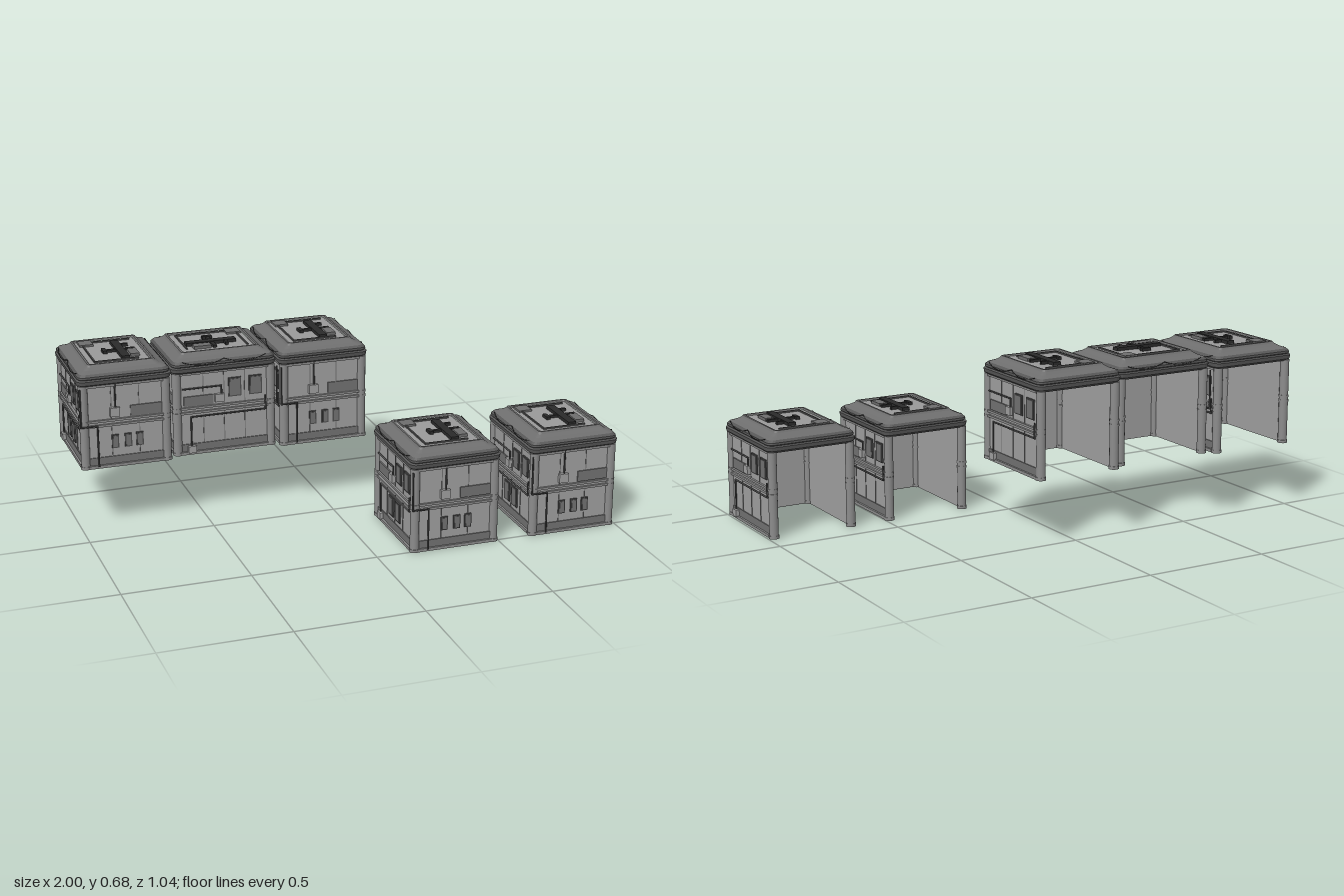
import * as THREE from 'three';

const mat = (name, color, extra = {}) =>
  Object.assign(new THREE.MeshStandardMaterial({ color, ...extra }), { name });

export function createModel() {
  const M = {
    wall: mat('wall grey', 0xa0a0a0),
    column: mat('column grey', 0x8c8c8c),
    trim: mat('trim grey', 0x727272),
    eave: mat('eave grey', 0x585858),
    roof: mat('roof grey', 0x6e6e6e),
    deck: mat('deck grey', 0x9a9a9a),
    dark: mat('vent black', 0x2b2b2b),
    pipe: mat('pipe grey', 0x4e4e4e),
    ceiling: mat('ceiling grey', 0x555555, { side: THREE.DoubleSide }),
  };

  const add = (parent, name, geo, m, x = 0, y = 0, z = 0) => {
    const mesh = new THREE.Mesh(geo, m);
    mesh.name = name;
    mesh.position.set(x, y, z);
    parent.add(mesh);
    return mesh;
  };
  // Box given by its ranges
  const box = (parent, name, m, x0, x1, y0, y1, z0, z1) =>
    add(parent, name, new THREE.BoxGeometry(x1 - x0, y1 - y0, z1 - z0), m,
      (x0 + x1) / 2, (y0 + y1) / 2, (z0 + z1) / 2);
  // Angular pipe run through flat points at depth z
  const pipe = (parent, name, pts, z, r = 0.0035, m = M.pipe) => {
    for (let i = 0; i + 1 < pts.length; i++) {
      const [ax, ay] = pts[i], [bx, by] = pts[i + 1];
      const len = Math.hypot(bx - ax, by - ay) + r;
      const p = add(parent, name, new THREE.CylinderGeometry(r, r, len, 8), m,
        (ax + bx) / 2, (ay + by) / 2, z);
      p.rotation.z = Math.atan2(by - ay, bx - ax) - Math.PI / 2;
    }
  };
  const windowAt = (w, x0, x1, y0, y1) => {
    box(w, 'windowFrame', M.pipe, x0, x1, y0, y1, 0, 0.005);
    box(w, 'windowPane', M.trim, x0 + 0.005, x1 - 0.005, y0 + 0.005, y1 - 0.005, 0, 0.007);
  };

  // Rounded rectangle outline at height y
  const ring = (hx, hz, r, y) => {
    const pts = [];
    for (let c = 0; c < 4; c++) {
      const sx = c === 0 || c === 3 ? 1 : -1, sz = c < 2 ? 1 : -1;
      for (let k = 0; k <= 4; k++) {
        const t = (c + k / 4) * Math.PI / 2;
        pts.push([sx * (hx - r) + r * Math.cos(t), y, sz * (hz - r) + r * Math.sin(t)]);
      }
    }
    return pts;
  };
  // Faceted skin over stacked outlines
  const loft = (profile, cap) => {
    const rings = profile.map(([inset, y]) =>
      ring(0.187 - inset, 0.214 - inset, Math.max(0.028 - inset * 0.3, 0.008), y));
    const v = [], n = rings[0].length;
    for (let j = 0; j + 1 < rings.length; j++)
      for (let i = 0; i < n; i++) {
        const k = (i + 1) % n, [lo, hi] = [rings[j], rings[j + 1]];
        v.push(...lo[i], ...hi[i], ...lo[k], ...lo[k], ...hi[i], ...hi[k]);
      }
    if (cap) {
      const top = rings.at(-1);
      for (let i = 0; i < n; i++) v.push(0, top[0][1], 0, ...top[(i + 1) % n], ...top[i]);
    }
    const g = new THREE.BufferGeometry();
    g.setAttribute('position', new THREE.Float32BufferAttribute(v, 3));
    g.computeVertexNormals();
    return g;
  };

  // Panelled wall facing +z, shared by all sides
  const wallBase = (name, half, seams) => {
    const w = new THREE.Group();
    w.name = name;
    box(w, 'wallPanel', M.wall, -half, half, 0, 0.345, -0.008, 0);
    box(w, 'skirting', M.trim, -half, half, 0.012, 0.042, 0, 0.004);
    box(w, 'sill', M.column, -half, half, 0, 0.012, 0, 0.012);
    for (const y of [0.168, 0.187]) box(w, 'floorBand', M.column, -half, half, y, y + 0.009, 0, 0.009);
    box(w, 'topBand', M.column, -half, half, 0.33, 0.345, 0, 0.009);
    for (const u of seams) {
      box(w, 'seam', M.trim, u - 0.0015, u + 0.0015, 0.042, 0.168, 0, 0.002);
      box(w, 'seam', M.trim, u - 0.0015, u + 0.0015, 0.196, 0.33, 0, 0.002);
    }
    return w;
  };

  const longWall = (name, withHatch) => {
    const w = wallBase(name, 0.18, [-0.085, 0, 0.085]);
    box(w, 'darkPanel', M.trim, -0.165, -0.045, 0.2, 0.24, 0, 0.005);
    box(w, 'junctionBox', M.wall, -0.04, -0.003, 0.208, 0.24, 0, 0.014);
    pipe(w, 'upperPipe', [[-0.17, 0.273], [-0.012, 0.273], [-0.012, 0.24]], 0.006);
    windowAt(w, 0.018, 0.07, 0.222, 0.3);
    windowAt(w, 0.102, 0.155, 0.222, 0.3);
    box(w, 'meterBox', M.wall, -0.153, -0.12, 0.008, 0.036, 0, 0.018);
    pipe(w, 'lowerPipe', [[-0.138, 0.036], [-0.138, 0.156], [0.168, 0.156], [0.168, 0.212]], 0.008);
    if (withHatch) for (const u of [-0.06, 0.01]) windowAt(w, u, u + 0.05, 0.06, 0.14);
    return w;
  };

  const shortWall = (name) => {
    const w = wallBase(name, 0.152, [-0.055, 0.055]);
    box(w, 'darkPanel', M.trim, 0.02, 0.145, 0.2, 0.243, 0, 0.005);
    box(w, 'junctionBox', M.wall, -0.062, -0.024, 0.207, 0.243, 0, 0.014);
    pipe(w, 'upperPipe', [[-0.04, 0.243], [-0.04, 0.345]], 0.007);
    for (const u of [-0.058, -0.006, 0.04]) windowAt(w, u, u + 0.028, 0.075, 0.13);
    pipe(w, 'cornerPipe', [[-0.18, 0.33], [-0.18, 0.178], [-0.115, 0.178], [-0.115, 0.012]], 0.018);
    return w;
  };

  const makeRoof = () => {
    const g = new THREE.Group();
    g.name = 'roof';
    add(g, 'eave', loft([[0.012, 0.336], [0.002, 0.345], [0, 0.36], [0.008, 0.364],
      [0.004, 0.368], [0.005, 0.376], [0.014, 0.385]]), M.eave);
    add(g, 'roofSlope', loft([[0.014, 0.385], [0.036, 0.393], [0.05, 0.402],
      [0.056, 0.41], [0.064, 0.41], [0.068, 0.404]]), M.roof);
    add(g, 'roofDeck', loft([[0.068, 0.403], [0.069, 0.404]], true), M.deck);
    const ceiling = add(g, 'ceiling', new THREE.PlaneGeometry(0.35, 0.404), M.ceiling, 0, 0.337, 0);
    ceiling.rotation.x = -Math.PI / 2;
    // Rooftop machinery
    box(g, 'hatch', M.roof, -0.108, -0.054, 0.404, 0.412, -0.138, -0.08);
    box(g, 'mainDuct', M.dark, 0.014, 0.046, 0.404, 0.417, -0.09, 0.115);
    box(g, 'crossDuct', M.dark, -0.035, 0.09, 0.404, 0.414, 0.003, 0.017);
    box(g, 'ductEnd', M.dark, -0.04, -0.024, 0.404, 0.416, -0.01, 0.03);
    box(g, 'ductEnd', M.dark, 0.045, 0.075, 0.404, 0.416, -0.05, -0.038);
    box(g, 'coolingUnit', M.roof, 0.054, 0.09, 0.404, 0.416, 0.025, 0.095);
    // Rail running around the deck
    box(g, 'deckRail', M.pipe, -0.098, -0.092, 0.404, 0.41, -0.08, 0.125);
    box(g, 'deckRail', M.pipe, -0.098, 0.08, 0.404, 0.41, 0.119, 0.125);
    box(g, 'deckRail', M.pipe, -0.054, 0.1, 0.404, 0.41, -0.125, -0.119);
    // Sagging cables along the long sides
    for (const s of [-1, 1]) for (const z0 of [-0.17, 0]) {
      const curve = new THREE.QuadraticBezierCurve3(
        new THREE.Vector3(s * 0.176, 0.386, z0), new THREE.Vector3(s * 0.195, 0.355, z0 + 0.085),
        new THREE.Vector3(s * 0.176, 0.386, z0 + 0.17));
      add(g, 'cable', new THREE.TubeGeometry(curve, 10, 0.0015, 5), M.dark);
    }
    return g;
  };

  // House with one open side: 'back' (-z) or 'right' (-x)
  const makeHouse = (name, open) => {
    const h = new THREE.Group();
    h.name = name;
    for (const x of [-0.163, 0.163]) for (const z of [-0.192, 0.192]) {
      add(h, 'column', new THREE.CylinderGeometry(0.018, 0.018, 0.34, 14), M.column, x, 0.17, z);
      add(h, 'columnFoot', new THREE.CylinderGeometry(0.02, 0.02, 0.012, 14), M.column, x, 0.006, z);
      for (const y of [0.168, 0.187])
        add(h, 'columnRing', new THREE.CylinderGeometry(0.0195, 0.0195, 0.009, 14), M.column, x, y + 0.0045, z);
    }
    const place = (w, x, z, turn) => {
      w.position.set(x, 0, z);
      w.rotation.y = turn;
      h.add(w);
    };
    place(longWall('leftWall', false), 0.168, 0, Math.PI / 2);
    place(shortWall('frontWall'), 0, 0.197, 0);
    if (open === 'back') place(longWall('rightWall', true), -0.168, 0, -Math.PI / 2);
    else place(shortWall('backWall'), 0, -0.197, Math.PI);
    h.add(makeRoof());
    return h;
  };

  // Upper row of three, the middle one turned sideways, and a lower pair
  const model = new THREE.Group();
  model.name = 'houses';
  const layout = [
    ['upperHouseA', -0.814, 0.26, -0.31], ['upperHouseB', -0.408, 0.26, -0.308, true],
    ['upperHouseC', -0.005, 0.26, -0.31], ['lowerHouseA', 0.317, 0, 0.302], ['lowerHouseB', 0.812, 0, 0.302],
  ];
  for (const [name, x, y, z, turned] of layout) {
    const h = makeHouse(name, turned ? 'right' : 'back');
    h.position.set(x, y, z);
    if (turned) h.rotation.y = -Math.PI / 2;
    model.add(h);
  }
  return model;
}
